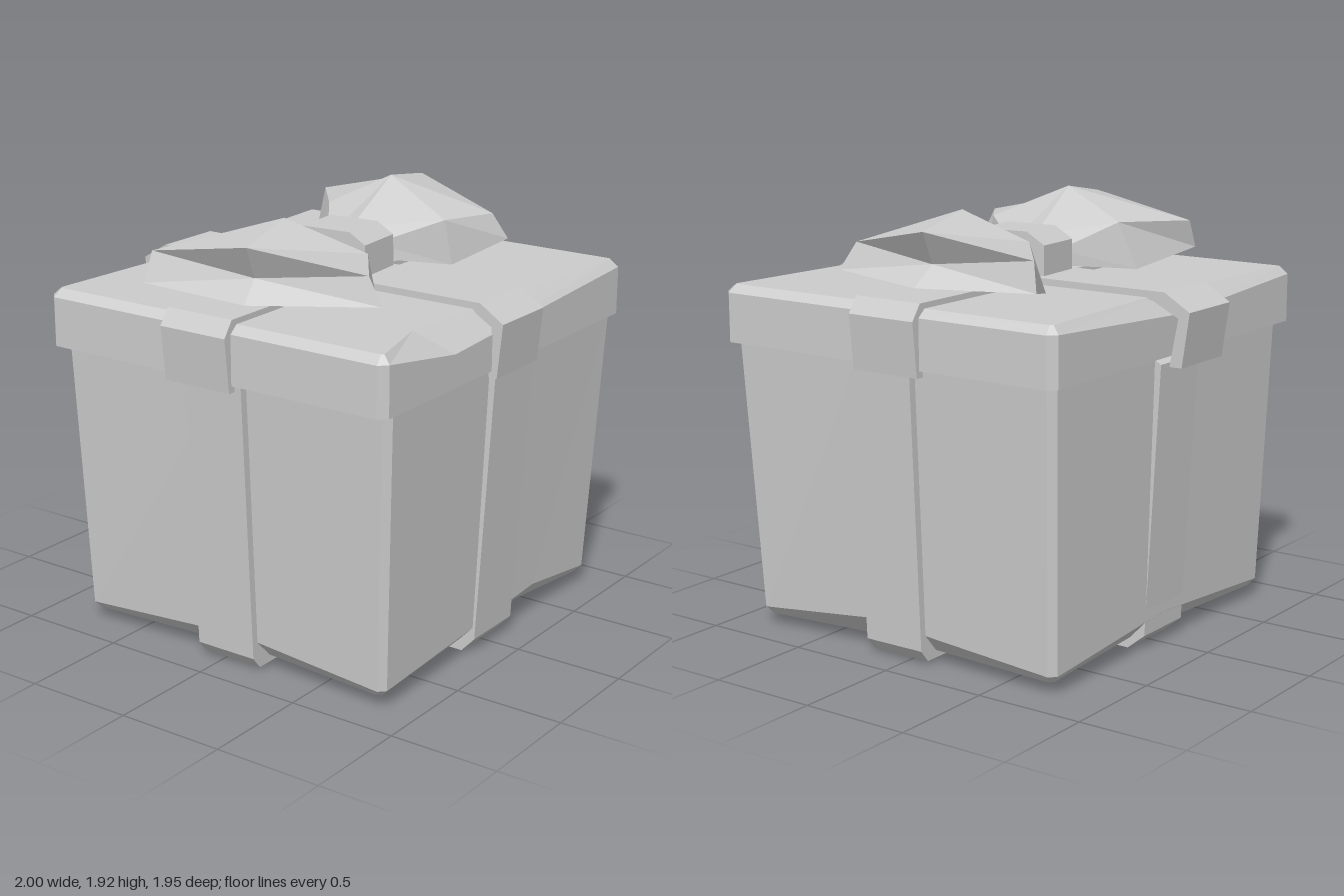
import * as THREE from 'three';

// Closed flat-shaded skin through matching rings of [x, y, z] points
function loft(rings) {
  const pos = [];
  const tri = (...pts) => pts.forEach((p) => pos.push(...p));
  const n = rings[0].length;
  const centre = (ring) => [0, 1, 2].map((k) => ring.reduce((s, p) => s + p[k], 0) / n);
  const first = rings[0], last = rings[rings.length - 1];
  const c0 = centre(first), c1 = centre(last);
  for (let i = 0; i < n; i++) {
    const j = (i + 1) % n;
    for (let r = 0; r + 1 < rings.length; r++) {
      const a = rings[r], b = rings[r + 1];
      tri(a[i], a[j], b[j]);
      tri(a[i], b[j], b[i]);
    }
    tri(c0, first[j], first[i]);
    tri(c1, last[i], last[j]);
  }
  const geo = new THREE.BufferGeometry();
  geo.setAttribute('position', new THREE.Float32BufferAttribute(pos, 3));
  geo.computeVertexNormals();
  return geo;
}

// Rectangle with cut corners; each side has a mid point [along, inward dent, rise]
function boxRing(y, hx, zf, zb, c, mids) {
  const [f, r, b, l] = mids;
  return [
    [-hx + c, y, zf], [f[0], y + f[2], zf - f[1]], [hx - c, y, zf],
    [hx, y, zf - c], [hx - r[1], y + r[2], r[0]], [hx, y, zb + c],
    [hx - c, y, zb], [b[0], y + b[2], zb + b[1]], [-hx + c, y, zb],
    [-hx, y, zb + c], [-hx + l[1], y + l[2], l[0]], [-hx, y, zf - c],
  ];
}

// Band with a (u, y) profile, running along x or along z
function band(profile, from, to, alongZ) {
  const shape = new THREE.Shape(profile.map((p) => new THREE.Vector2(...p)));
  const geo = new THREE.ExtrudeGeometry(shape, { depth: to - from, bevelEnabled: false });
  if (alongZ) geo.translate(0, 0, -to).rotateY(-Math.PI / 2);
  else geo.translate(0, 0, from);
  return geo;
}

export function createModel() {
  const group = new THREE.Group();
  const grey = new THREE.MeshStandardMaterial({ color: 0xcccccc, flatShading: true });
  grey.name = 'light grey';
  const add = (name, geo) => {
    const mesh = new THREE.Mesh(geo, grey);
    mesh.name = name;
    group.add(mesh);
    return mesh;
  };

  // Tapered box with an uneven bevel around the base
  const bodyMids = (dent, rise) => [
    [0.36, dent, 0.065 * rise], [0.2, dent, 0.07 * rise],
    [0, dent, 0.06 * rise], [0.1, dent, 0.06 * rise],
  ];
  add('boxBody', loft([
    boxRing(0.05, 0.82, 0.82, -0.74, 0.02, bodyMids(0.06, 0)),
    boxRing(0.085, 0.85, 0.855, -0.77, 0.03, bodyMids(0, 1)),
    boxRing(1.34, 0.905, 0.91, -0.8, 0.03, bodyMids(0, 0)),
  ]));

  // Lid with an uneven bevel at the front and back
  const flat = [0.04, 0, 0];
  add('lid', loft([
    boxRing(1.32, 0.96, 0.925, -0.84, 0.035, [[-0.45, 0, 0], flat, [0, 0, 0], flat]),
    boxRing(1.54, 0.96, 0.925, -0.84, 0.035, [[-0.45, 0, -0.075], flat, [0, 0, -0.05], flat]),
    boxRing(1.575, 0.92, 0.89, -0.805, 0.01, [[-0.58, 0.09, 0], flat, [0, 0.05, 0], flat]),
  ]));

  // Ribbons around the box
  add('bodyRibbonFrontToBack', band([
    [0.94, 1.32], [0.865, 0.07], [0.8, 0], [-0.68, 0], [-0.765, 0.07], [-0.83, 1.29], [-0.78, 1.32],
  ], -0.155, 0.15, true));
  add('bodyRibbonSideToSide', band([
    [0.94, 1.32], [0.88, 0.07], [0.835, 0.015], [-0.835, 0.015], [-0.88, 0.07], [-0.94, 1.32],
  ], -0.1, 0.2, false));

  // Ribbons over the lid, hanging a little below its rim
  add('lidRibbonFrontToBack', band([
    [0.95, 1.29], [0.975, 1.53], [0.86, 1.605], [-0.85, 1.605], [-0.975, 1.53], [-0.94, 1.29],
    [-0.88, 1.29], [-0.92, 1.5], [-0.84, 1.54], [-0.79, 1.565], [0.83, 1.565], [0.92, 1.51], [0.91, 1.29],
  ], -0.165, 0.165, true));
  add('lidRibbonSideToSide', band([
    [0.975, 1.29], [1, 1.53], [0.95, 1.6], [-0.95, 1.6], [-1, 1.53], [-0.975, 1.29],
    [-0.935, 1.29], [-0.955, 1.51], [-0.9, 1.565], [0.9, 1.565], [0.955, 1.51], [0.935, 1.29],
  ], -0.17, 0.168, false));

  // Bow loops: knot end, middle, flared outer end
  // Each section: back low, back high, ridge, front high, front low, underside
  add('bowLoopLeft', loft([
    [[0.1, 1.62, -0.13], [0.11, 1.69, -0.12], [0.12, 1.75, 0],
      [0.11, 1.7, 0.14], [0.12, 1.63, 0.16], [0.12, 1.6, 0]],
    [[0.33, 1.575, -0.36], [0.34, 1.79, -0.28], [0.48, 1.925, -0.03],
      [0.38, 1.78, 0.33], [0.4, 1.575, 0.36], [0.44, 1.575, 0]],
    [[0.68, 1.64, -0.56], [0.655, 1.77, -0.53], [0.815, 1.87, -0.08],
      [0.66, 1.77, 0.41], [0.71, 1.65, 0.465], [0.86, 1.64, -0.07]],
  ]));
  add('bowLoopRight', loft([
    [[-0.1, 1.62, -0.14], [-0.1, 1.69, -0.13], [-0.1, 1.75, 0],
      [-0.09, 1.7, 0.13], [-0.09, 1.63, 0.15], [-0.1, 1.6, 0]],
    [[-0.45, 1.575, -0.32], [-0.4, 1.79, -0.25], [-0.49, 1.925, 0.09],
      [-0.32, 1.78, 0.4], [-0.31, 1.575, 0.44], [-0.44, 1.575, 0.09]],
    [[-0.83, 1.64, -0.4], [-0.775, 1.77, -0.4], [-0.82, 1.87, 0.145],
      [-0.585, 1.77, 0.59], [-0.59, 1.65, 0.66], [-0.865, 1.64, 0.165]],
  ].map((ring) => ring.reverse())));

  // Knot, turned slightly
  const knot = add('bowKnot', band([
    [0.225, 1.59], [0.22, 1.745], [0.14, 1.795], [-0.1, 1.795], [-0.19, 1.74], [-0.19, 1.59],
  ], -0.125, 0.12, true));
  knot.position.x = 0.01;
  knot.rotation.y = 0.08;

  return group;
}
